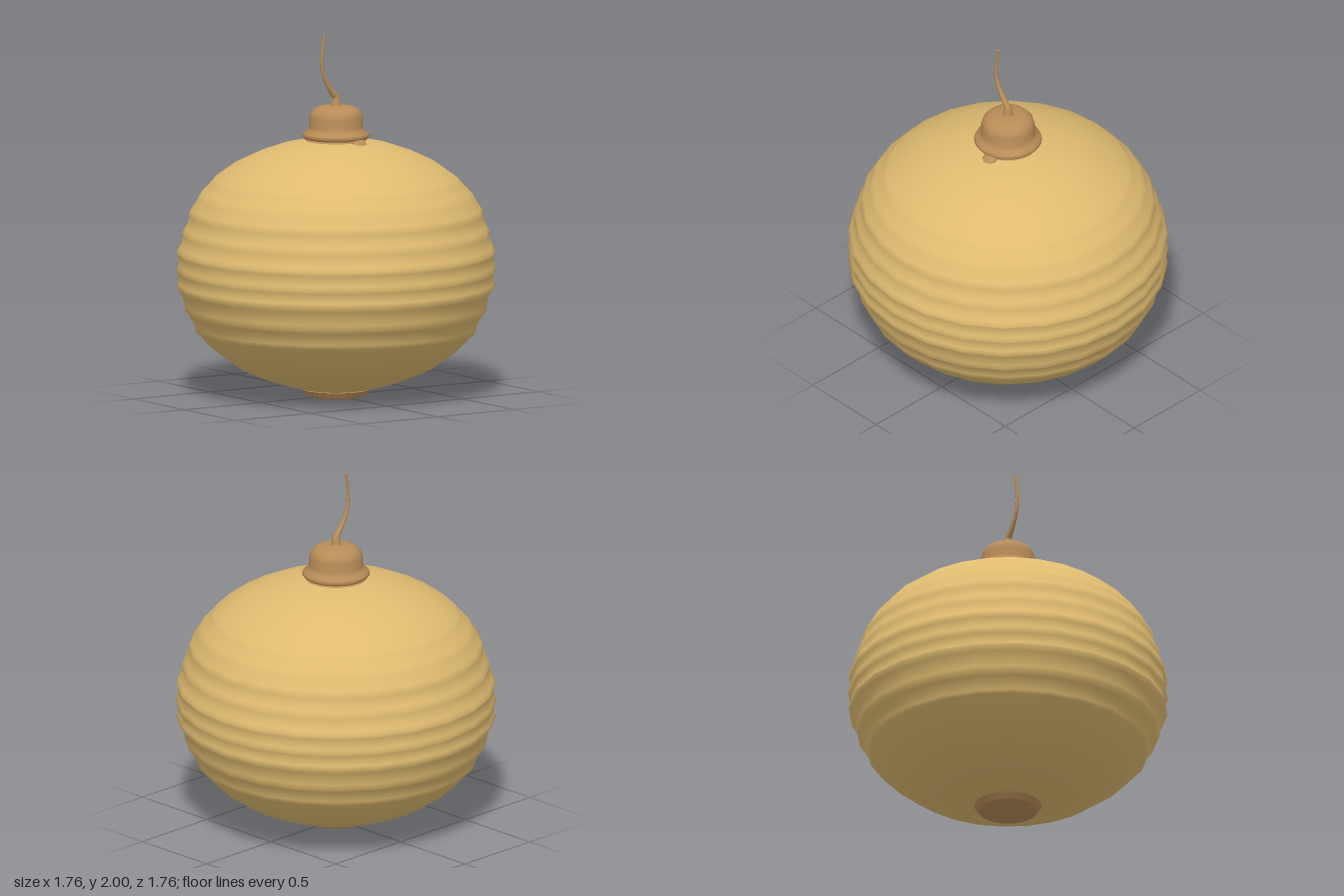
import * as THREE from 'three';

const paper = new THREE.MeshStandardMaterial({ color: 0xdfbb70 });
paper.name = 'paper';
const wood = new THREE.MeshStandardMaterial({ color: 0xb88c57 });
wood.name = 'wood';

const lathe = (name, points, material, sides) => {
  const profile = points.map(([r, y]) => new THREE.Vector2(r, y));
  const mesh = new THREE.Mesh(new THREE.LatheGeometry(profile, sides), material);
  mesh.name = name;
  return mesh;
};

// Ribbed paper shade: ridges joined by slightly hollow bands
function shadeProfile() {
  const ridges = [[0.77, 0.36], [0.83, 0.475], [0.875, 0.605], [0.878, 0.7], [0.876, 0.8],
    [0.842, 0.91], [0.807, 1.015], [0.75, 1.11], [0.668, 1.2]];
  const points = [[0.12, 0.03], [0.18, 0.04], [0.28, 0.063], [0.39, 0.097], [0.53, 0.157], [0.67, 0.257]];
  ridges.forEach(([r, y], i) => {
    points.push([r, y]);
    const next = ridges[i + 1];
    if (!next) return;
    const hollow = i < 6 ? 0.012 : 0.003;
    for (const t of [0.2, 0.5, 0.8]) {
      const dip = hollow * (t === 0.5 ? 1 : 0.75);
      points.push([r + (next[0] - r) * t - dip, y + (next[1] - y) * t]);
    }
  });
  points.push([0.56, 1.278], [0.43, 1.34], [0.3, 1.385], [0.17, 1.412], [0.05, 1.42]);
  return points;
}

// Bent cord that thins towards its tip
function cord() {
  const curve = new THREE.CatmullRomCurve3([[0.0, 1.58], [0.003, 1.64], [-0.03, 1.685], [-0.068, 1.745],
    [-0.092, 1.81], [-0.092, 1.89], [-0.083, 1.96], [-0.076, 2.0]].map(([x, y]) => new THREE.Vector3(x, y, 0)));
  const steps = 28, sides = 10;
  const geometry = new THREE.TubeGeometry(curve, steps, 1, sides);
  const pos = geometry.attributes.position;
  const v = new THREE.Vector3();
  for (let i = 0; i <= steps; i++) {
    const t = i / steps;
    const centre = curve.getPointAt(t);
    const radius = 0.008 + 0.018 * Math.pow(1 - t, 3);
    for (let j = 0; j <= sides; j++) {
      const k = i * (sides + 1) + j;
      v.fromBufferAttribute(pos, k).sub(centre).multiplyScalar(radius).add(centre);
      pos.setXYZ(k, v.x, Math.min(v.y, 2), v.z);
    }
  }
  geometry.computeVertexNormals();
  const mesh = new THREE.Mesh(geometry, wood);
  mesh.name = 'cord';
  const tip = new THREE.Mesh(new THREE.CylinderGeometry(0.008, 0.008, 0.004, sides), wood);
  tip.name = 'cordTip';
  tip.position.set(-0.076, 1.998, 0);
  return [mesh, tip];
}

export function createModel() {
  const group = new THREE.Group();
  group.name = 'paperLantern';

  group.add(lathe('shade', shadeProfile(), paper, 24));

  // Domed cap with a flared rim
  group.add(lathe('cap', [[0, 1.4], [0.12, 1.4], [0.14, 1.417], [0.175, 1.424], [0.186, 1.437], [0.18, 1.452],
    [0.158, 1.468], [0.147, 1.49], [0.147, 1.535], [0.138, 1.565], [0.118, 1.587], [0.085, 1.6],
    [0.04, 1.605], [0, 1.606]], wood, 32));

  // Collar where the cap meets the paper
  group.add(lathe('collar', [[0.165, 1.4], [0.17, 1.416], [0.11, 1.426]], wood, 24));

  // Small tab at the front of the rim
  const tab = new THREE.Mesh(new THREE.SphereGeometry(1, 12, 8), wood);
  tab.name = 'rimTab';
  tab.scale.set(0.045, 0.02, 0.06);
  tab.rotation.x = 0.5;
  tab.position.set(0.035, 1.413, 0.165);
  group.add(tab);

  // Cord knot and cord
  group.add(lathe('cordKnot', [[0.034, 1.598], [0.026, 1.612], [0.023, 1.635], [0.016, 1.655], [0, 1.662]], wood, 12));
  group.add(...cord());

  // Flat foot
  const foot = new THREE.Mesh(new THREE.CylinderGeometry(0.186, 0.165, 0.032, 16), wood);
  foot.name = 'foot';
  foot.position.y = 0.021;
  group.add(foot);
  const sole = new THREE.Mesh(new THREE.CylinderGeometry(0.165, 0.155, 0.006, 16), wood);
  sole.name = 'footSole';
  sole.position.y = 0.003;
  group.add(sole);

  return group;
}
